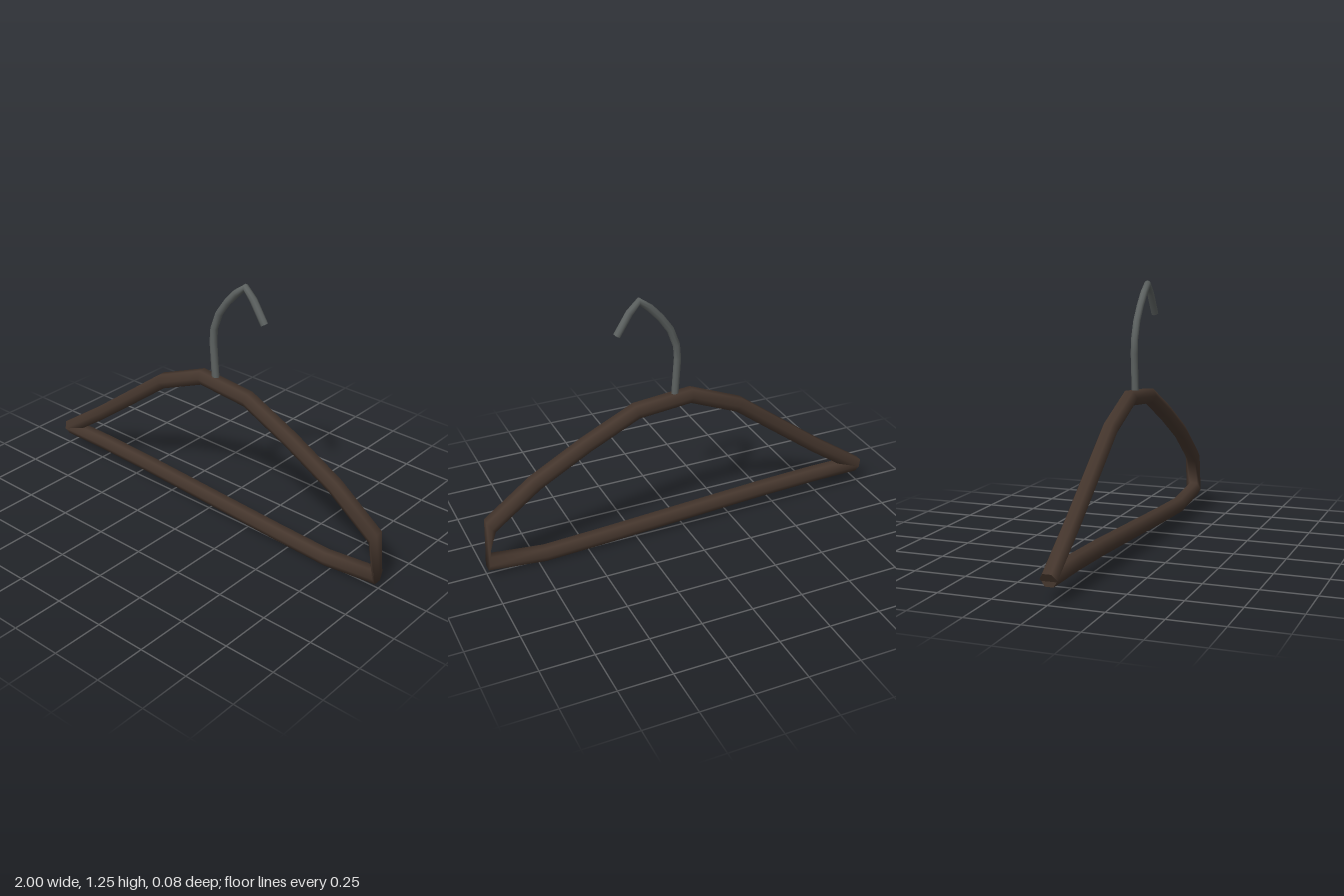
import * as THREE from 'three';

// Sweep a regular polygon along a path in the XY plane.
// Each point is [x, y] or [x, y, headingDegrees] to fix the ring's direction.
function sweep(points, radius, sides) {
  const pos = [], index = [];
  const last = points.length - 1;
  const rings = points.map(([x, y, deg], i) => {
    const a = points[Math.max(i - 1, 0)], b = points[Math.min(i + 1, last)];
    const heading = deg === undefined
      ? Math.atan2(b[1] - a[1], b[0] - a[0])
      : THREE.MathUtils.degToRad(deg);
    const ring = [];
    for (let j = 0; j < sides; j++) {
      const t = Math.PI / 2 + (j / sides) * Math.PI * 2;
      const n = Math.cos(t) * radius;
      ring.push([x - Math.sin(heading) * n, y + Math.cos(heading) * n, Math.sin(t) * radius]);
    }
    return ring;
  });
  rings.forEach((ring) => ring.forEach((p) => pos.push(...p)));

  // Side walls
  for (let i = 0; i < last; i++) {
    for (let j = 0; j < sides; j++) {
      const k = (j + 1) % sides;
      const a = i * sides + j, b = i * sides + k;
      index.push(a, b, a + sides, b, b + sides, a + sides);
    }
  }
  // End caps with their own vertices, so that the rims stay sharp
  [0, last].forEach((i) => {
    const base = pos.length / 3;
    rings[i].forEach((p) => pos.push(...p));
    for (let j = 1; j < sides - 1; j++) {
      if (i === 0) index.push(base, base + j + 1, base + j);
      else index.push(base, base + j, base + j + 1);
    }
  });

  const geometry = new THREE.BufferGeometry();
  geometry.setAttribute('position', new THREE.Float32BufferAttribute(pos, 3));
  geometry.setIndex(index);
  geometry.computeVertexNormals();
  return geometry;
}

export function createModel() {
  const wood = new THREE.MeshStandardMaterial({ color: 0x45362d });
  wood.name = 'darkWood';
  const metal = new THREE.MeshStandardMaterial({ color: 0x5c6160 });
  metal.name = 'greyMetal';

  const group = new THREE.Group();
  group.name = 'coatHanger';
  const add = (name, geometry, material) => {
    const mesh = new THREE.Mesh(geometry, material);
    mesh.name = name;
    group.add(mesh);
  };

  // Shoulder arch, pinched corner and lower bar in one bent rod
  add('frame', sweep([
    [-0.985, 0.105, 33], [-0.735, 0.278], [-0.512, 0.445], [-0.293, 0.61],
    [-0.04, 0.715], [0.235, 0.69], [0.487, 0.57], [0.74, 0.43], [0.965, 0.26, -35],
    [0.99, 0.067, 186], [0.714, 0.038], [0.435, 0.05], [0.14, 0.066],
    [-0.15, 0.082], [-0.43, 0.097], [-0.715, 0.107], [-0.98, 0.109, 180],
  ], 0.04, 6), wood);

  // Bent hanging hook
  add('hook', sweep([
    [0.042, 0.70], [0.025, 0.917], [0.03, 0.984], [0.06, 1.067], [0.107, 1.134],
    [0.158, 1.19], [0.211, 1.232, 0], [0.257, 1.184], [0.32, 1.085],
  ], 0.018, 8), metal);

  return group;
}
